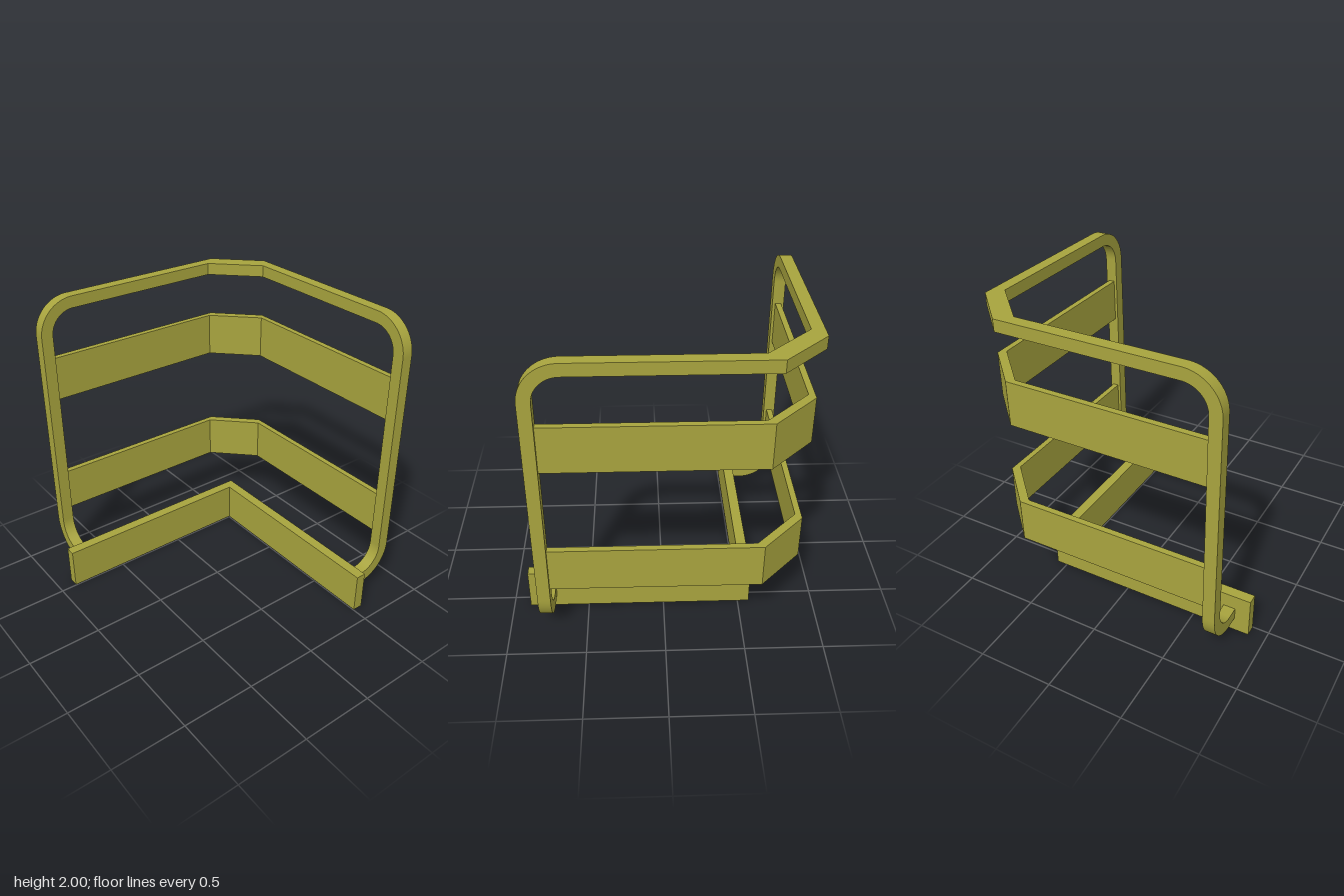
import * as THREE from 'three';
import { toCreasedNormals } from 'three/addons/utils/BufferGeometryUtils.js';

// Mirror a geometry across the plane x = z, keeping faces outward
function mirrored(source) {
  const g = source.index ? source.toNonIndexed() : source.clone();
  for (const name of ['position', 'normal']) {
    const a = g.attributes[name], old = a.clone();
    for (let i = 0; i < a.count; i++) {
      const j = i % 3 === 0 ? i : i % 3 === 1 ? i + 1 : i - 1;
      a.setXYZ(i, old.getZ(j), old.getY(j), old.getX(j));
    }
  }
  return g;
}

// Extrude an upright outline and shift it along its depth
function upright(shape, depth, offset) {
  const g = new THREE.ExtrudeGeometry(shape, { depth, bevelEnabled: false, curveSegments: 12 });
  g.translate(0, 0, offset);
  return toCreasedNormals(g, 0.5);
}

// Extrude a plan outline given as [x, z] points from y0 to y1
function plan(points, y0, y1) {
  const shape = new THREE.Shape(points.map(([x, z]) => new THREE.Vector2(x, -z)));
  const g = new THREE.ExtrudeGeometry(shape, { depth: y1 - y0, bevelEnabled: false });
  g.rotateX(-Math.PI / 2);
  g.translate(0, y0, 0);
  return g;
}

// Two-armed band with a chamfered corner, symmetric about x = z
function cornerBand(end, outer, outerCut, inner, innerCut, y0, y1) {
  return plan([
    [end, outer], [outerCut, outer], [outer, outerCut], [outer, end],
    [inner, end], [inner, innerCut], [innerCut, inner], [end, inner],
  ], y0, y1);
}

export function createModel() {
  const group = new THREE.Group();
  const material = new THREE.MeshStandardMaterial({ color: 0xa8a43e });
  const add = (name, geometry) => {
    const mesh = new THREE.Mesh(geometry, material);
    mesh.name = name;
    group.add(mesh);
  };

  const R = 0.24, r = 0.16, T = 0.08, Q = Math.PI / 2;

  // Top rail and the two slats below it
  add('topRail', cornerBand(0.55, -0.89, -0.62, -0.81, -0.535, 1.92, 2));
  add('upperSlat', cornerBand(0.72, -0.87, -0.6, -0.83, -0.56, 1.3, 1.6));
  add('lowerSlat', cornerBand(0.72, -0.87, -0.6, -0.83, -0.56, 0.425, 0.725));

  // Post with rounded top bend
  const post = new THREE.Shape();
  post.moveTo(0.55, 1.92);
  post.absarc(0.55, 1.76, r, Q, 0, true);
  post.lineTo(0.71, 0.34);
  post.lineTo(0.79, 0.34);
  post.absarc(0.55, 1.76, R, 0, Q, false);
  const postGeometry = upright(post, T, -0.89);
  add('backPost', postGeometry);
  add('sidePost', mirrored(postGeometry));

  // Bottom bend turning inward to the base
  const hook = new THREE.Shape();
  hook.moveTo(-0.89, 0.34);
  hook.absarc(-0.65, 0.34, R, Math.PI, Math.PI + Q, false);
  hook.lineTo(-0.57, 0.1);
  hook.lineTo(-0.57, 0.18);
  hook.absarc(-0.65, 0.34, r, Math.PI + Q, Math.PI, true);
  const hookGeometry = upright(hook, T, 0.71);
  add('sideFoot', hookGeometry);
  add('backFoot', mirrored(hookGeometry));

  // L-shaped base board
  const a = -0.575, b = -0.505, e = 0.89;
  add('baseBoard', plan([[e, a], [a, a], [a, e], [b, e], [b, b], [e, b]], 0, 0.28));

  return group;
}
